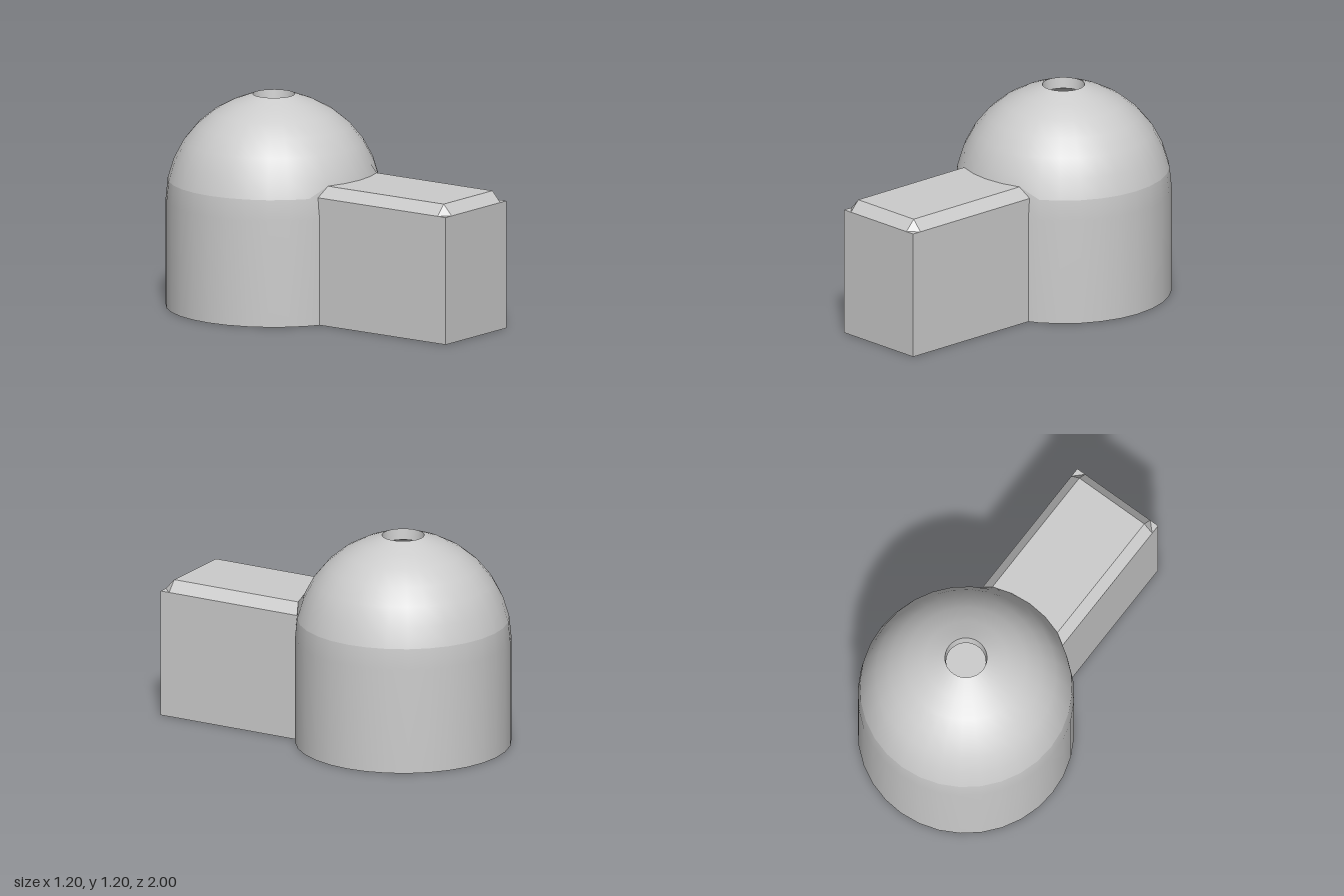
import * as THREE from 'three';
import { ConvexGeometry } from 'three/addons/geometries/ConvexGeometry.js';

const R = 0.6, INNER = 0.54, CENTRE_Y = 0.6, DOME_Z = -0.4, SIDES = 32;
const STEP = Math.PI / 16;
const EAVES = 0.72, ROOF = 0.78, HALF = 0.28, ROOF_HALF = 0.225;

export function createModel() {
  const group = new THREE.Group();
  const material = new THREE.MeshStandardMaterial({ color: 0xcccccc });

  const add = (name, geometry) => {
    const mesh = new THREE.Mesh(geometry, material);
    mesh.name = name;
    group.add(mesh);
    return mesh;
  };

  // Turned part around the dome's axis
  const turn = (name, profile) => {
    const points = profile.map(([r, y]) => new THREE.Vector2(r, y));
    const mesh = add(name, new THREE.LatheGeometry(points, SIDES));
    mesh.position.z = DOME_Z;
    return mesh;
  };

  // Point on a quarter circle, k steps above the horizontal
  const arc = (radius, k) => [radius * Math.cos(k * STEP / 2 * 1), CENTRE_Y + radius * Math.sin(k * STEP / 2 * 1)];
  const ring = (radius, k) => arc(radius, 2 * k);

  // Seam between wall and dome steps up to the passage roof at the front
  const liftSeam = (mesh) => {
    const p = mesh.geometry.attributes.position;
    const seamY = ring(R, 1)[1];
    for (let i = 0; i < p.count; i++) {
      const atSeam = Math.abs(p.getY(i) - seamY) < 0.001;
      if (atSeam && p.getZ(i) > 0 && Math.abs(p.getX(i)) < 0.24) p.setY(i, ROOF);
    }
  };

  // Outer shell: wall, dome and base
  const wall = turn('wall', [[R, 0], [R, CENTRE_Y], ring(R, 1)]);
  const domeProfile = [];
  for (let k = 1; k <= 6; k++) domeProfile.push(ring(R, k));
  const ventRadius = ring(R, 7)[0];
  domeProfile.push([ventRadius, 1.197]);
  const dome = turn('dome', domeProfile);
  liftSeam(wall);
  liftSeam(dome);
  turn('base', [[0, 0], [R, 0]]);

  // Round vent through the crown, with the hollow inside
  const innerTop = [0.11, 1.135];
  turn('ventRim', [[ventRadius, 1.197], innerTop]);
  const lining = [innerTop];
  for (let k = 6; k >= 0; k--) lining.push(ring(INNER, k));
  lining.push([INNER, 0.06]);
  turn('innerLining', lining);
  turn('innerFloor', [[INNER, 0.06], [0, 0.06]]);

  // Entrance passage
  const back = 0.11, front = 1, bevelZ = 0.945;
  const passage = add('passage', new THREE.BoxGeometry(HALF * 2, EAVES, front - back));
  passage.position.set(0, EAVES / 2, (front + back) / 2);

  // Bevelled roof with clipped front corners
  const corners = [];
  for (const s of [-1, 1]) {
    corners.push(
      new THREE.Vector3(s * HALF, EAVES, back),
      new THREE.Vector3(s * HALF, EAVES, bevelZ),
      new THREE.Vector3(s * ROOF_HALF, EAVES, front),
      new THREE.Vector3(s * ROOF_HALF, ROOF, back),
      new THREE.Vector3(s * ROOF_HALF, ROOF, bevelZ)
    );
  }
  add('passageRoof', new ConvexGeometry(corners));

  return group;
}
